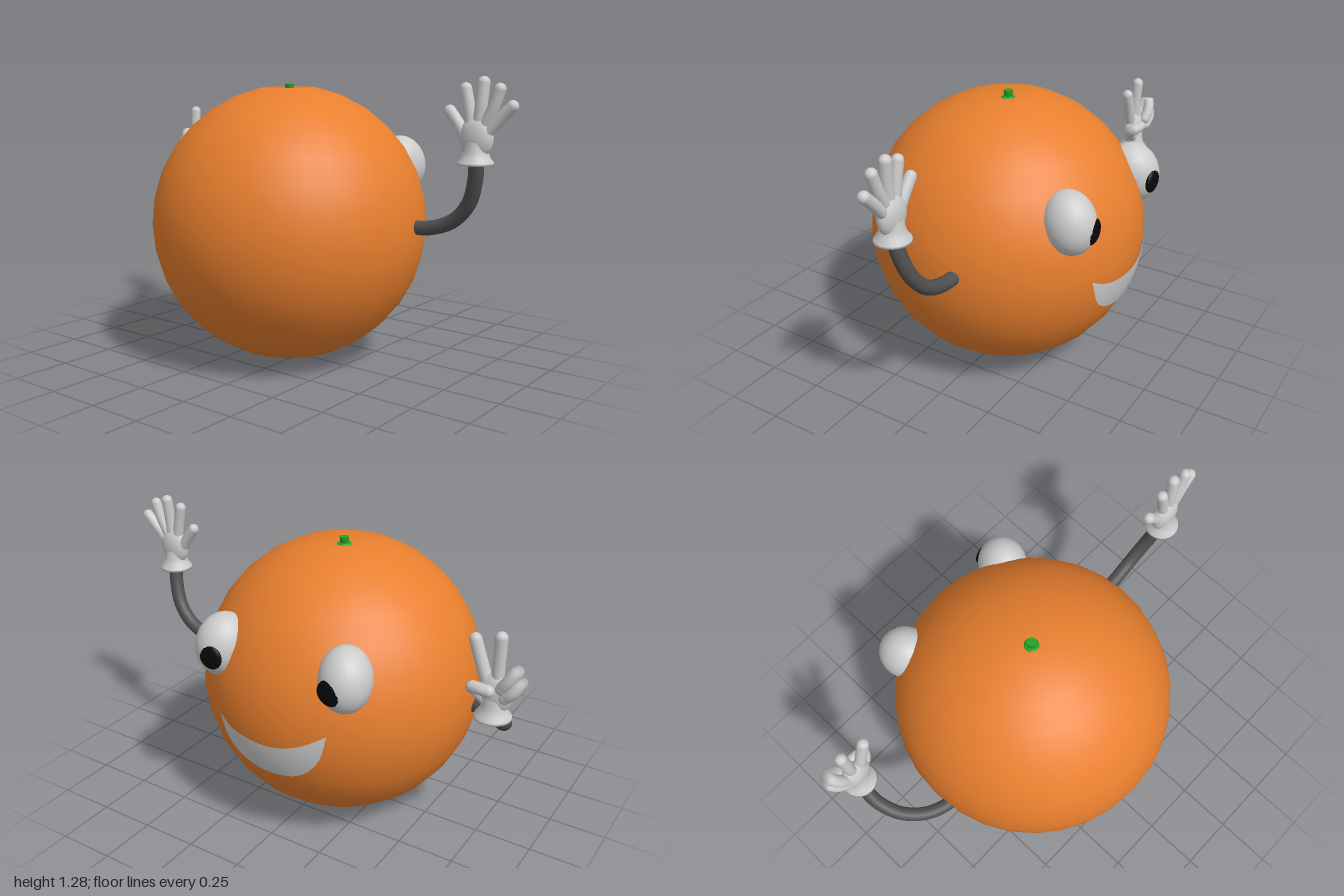
import * as THREE from 'three';
import { mergeGeometries } from 'three/addons/utils/BufferGeometryUtils.js';

const R = 0.615, CENTRE = new THREE.Vector3(0, 0.613, -0.06);
const mat = (color, side = THREE.FrontSide) =>
  new THREE.MeshStandardMaterial({ color, side, roughness: 0.8 });
const grey = mat(0xcccccc), greySheet = mat(0xcccccc, THREE.DoubleSide);
const orange = mat(0xe87f2e), dark = mat(0x505050), black = mat(0x080808), green = mat(0x22a022);

function add(parent, name, geometry, material, pos = [0, 0, 0]) {
  const mesh = new THREE.Mesh(geometry, material);
  mesh.name = name;
  mesh.position.set(...pos);
  parent.add(mesh);
  return mesh;
}

// Round-ended tube through the given points
function roundTube(points, r, segments = 12) {
  const pts = points.map(p => new THREE.Vector3(...p));
  const parts = [new THREE.TubeGeometry(new THREE.CatmullRomCurve3(pts), segments, r, 12)];
  for (const p of [pts[0], pts[pts.length - 1]]) {
    parts.push(new THREE.SphereGeometry(r, 12, 8).translate(p.x, p.y, p.z));
  }
  return mergeGeometries(parts);
}

// Glove: flared cuff, flattened palm and fingers; finger points are relative to the cuff centre
function makeGlove(name, pos, fingers) {
  const glove = new THREE.Group();
  glove.name = name;
  glove.position.set(...pos);
  const profile = [[0, 0.012], [0.06, 0.006], [0.074, 0], [0.072, 0.01], [0.056, 0.03], [0.048, 0.055], [0.044, 0.09]]
    .map(p => new THREE.Vector2(...p));
  add(glove, 'cuff', new THREE.LatheGeometry(profile, 20), greySheet);
  const palm = add(glove, 'palm', new THREE.SphereGeometry(1, 20, 14), grey, [0, 0.105, 0]);
  palm.scale.set(0.042, 0.085, 0.072);
  for (const [fingerName, r, ...points] of fingers) {
    add(glove, fingerName, roundTube(points, r), grey);
  }
  return glove;
}

// Smile: crescent between two curves, laid on the curved front of the body
function smileGeometry() {
  const curve = pts => new THREE.SplineCurve(pts.map(p => new THREE.Vector2(...p)));
  const upper = curve([[0.195, 0.587], [0.13, 0.556], [0.05, 0.54], [-0.09, 0.538], [-0.21, 0.568], [-0.325, 0.632]]);
  const lower = curve([[0.195, 0.587], [0.15, 0.475], [0.07, 0.41], [-0.07, 0.385], [-0.2, 0.415], [-0.29, 0.51], [-0.325, 0.632]]);
  const geo = new THREE.PlaneGeometry(1, 1, 32, 8);
  const pos = geo.attributes.position;
  for (let i = 0; i < pos.count; i++) {
    const u = pos.getX(i) + 0.5, v = pos.getY(i) + 0.5;
    const p = lower.getPoint(u).lerp(upper.getPoint(u), v);
    const dz = p.x - CENTRE.z, dy = p.y - CENTRE.y;
    pos.setXYZ(i, Math.sqrt((R + 0.003) ** 2 - dz * dz - dy * dy), p.y, p.x);
  }
  geo.computeVertexNormals();
  return geo;
}

export function createModel() {
  const model = new THREE.Group();
  model.name = 'orangeFigure';

  // Body: round fruit with a small dimple at the top pole
  const bodyGeo = new THREE.SphereGeometry(R, 32, 16);
  const pos = bodyGeo.attributes.position;
  for (let i = 0; i < pos.count; i++) {
    if (pos.getY(i) > R * 0.999) pos.setY(i, R - 0.033);
  }
  add(model, 'body', bodyGeo, orange, CENTRE.toArray());

  // Stem and its collar
  const stem = new THREE.Group();
  stem.name = 'stem';
  stem.position.set(0, 1.19, CENTRE.z);
  model.add(stem);
  add(stem, 'collar', new THREE.CylinderGeometry(0.025, 0.042, 0.016, 12), green, [0, 0.008, 0]);
  add(stem, 'stalk', new THREE.CylinderGeometry(0.02, 0.016, 0.04, 12), green, [0, 0.021, 0]);

  // Eyes lean back along the body, pupils look straight ahead
  for (const s of [1, -1]) {
    const side = s > 0 ? 'right' : 'left';
    const eye = add(model, side + 'Eye', new THREE.SphereGeometry(1, 32, 20), grey, [0.468, 0.855, CENTRE.z + s * 0.295]);
    eye.scale.set(0.108, 0.135, 0.116);
    eye.lookAt(eye.position.clone().add(new THREE.Vector3(0.85, 0.28, s * 0.36)));
    const pupil = add(model, side + 'Pupil', new THREE.SphereGeometry(1, 24, 12), black, [0.567, 0.837, CENTRE.z + s * 0.285]);
    pupil.scale.set(0.021, 0.056, 0.056);
  }
  add(model, 'smile', smileGeometry(), greySheet);

  // Arms
  add(model, 'wavingArm', roundTube([[0.11, 0.637, 0.48], [0.11, 0.643, 0.6], [0.112, 0.685, 0.71],
    [0.1, 0.765, 0.785], [0.08, 0.86, 0.82], [0.062, 0.95, 0.833]], 0.031, 28), dark);
  add(model, 'signArm', roundTube([[-0.075, 0.575, -0.6], [-0.065, 0.577, -0.69], [-0.03, 0.588, -0.77],
    [0.04, 0.61, -0.84], [0.13, 0.655, -0.877], [0.2, 0.71, -0.878], [0.235, 0.76, -0.868]], 0.03, 28), dark);

  // Open waving glove
  model.add(makeGlove('wavingGlove', [0.06, 0.93, 0.83], [
    ['littleFinger', 0.024, [0, 0.12, 0.04], [0.004, 0.19, 0.103], [0.005, 0.233, 0.146]],
    ['ringFinger', 0.024, [0, 0.13, 0.02], [0, 0.22, 0.066], [0, 0.297, 0.094]],
    ['middleFinger', 0.025, [0, 0.14, 0.005], [0, 0.23, 0.016], [0.005, 0.321, 0.022]],
    ['indexFinger', 0.024, [0, 0.13, -0.02], [0, 0.22, -0.035], [0, 0.297, -0.052]],
    ['thumb', 0.024, [0, 0.08, -0.03], [0, 0.15, -0.075], [0, 0.208, -0.12]],
  ]));

  // Glove with two raised fingers, the others folded forward
  model.add(makeGlove('signGlove', [0.235, 0.735, -0.868], [
    ['indexFinger', 0.025, [0, 0.13, 0.03], [0, 0.22, 0.064], [0, 0.305, 0.094]],
    ['middleFinger', 0.025, [0, 0.14, -0.005], [0, 0.24, -0.006], [0.005, 0.336, -0.008]],
    ['ringFinger', 0.025, [-0.01, 0.13, -0.035], [0, 0.2, -0.075], [0.03, 0.232, -0.09], [0.045, 0.19, -0.065], [0.04, 0.15, -0.04]],
    ['littleFinger', 0.024, [-0.01, 0.1, -0.045], [0, 0.155, -0.09], [0.025, 0.19, -0.108], [0.045, 0.15, -0.085], [0.04, 0.115, -0.055]],
    ['thumb', 0.024, [0.01, 0.07, 0.03], [0.02, 0.11, 0.075], [0.035, 0.125, 0.085], [0.045, 0.13, 0.05], [0.045, 0.128, 0.01]],
  ]));

  return model;
}
